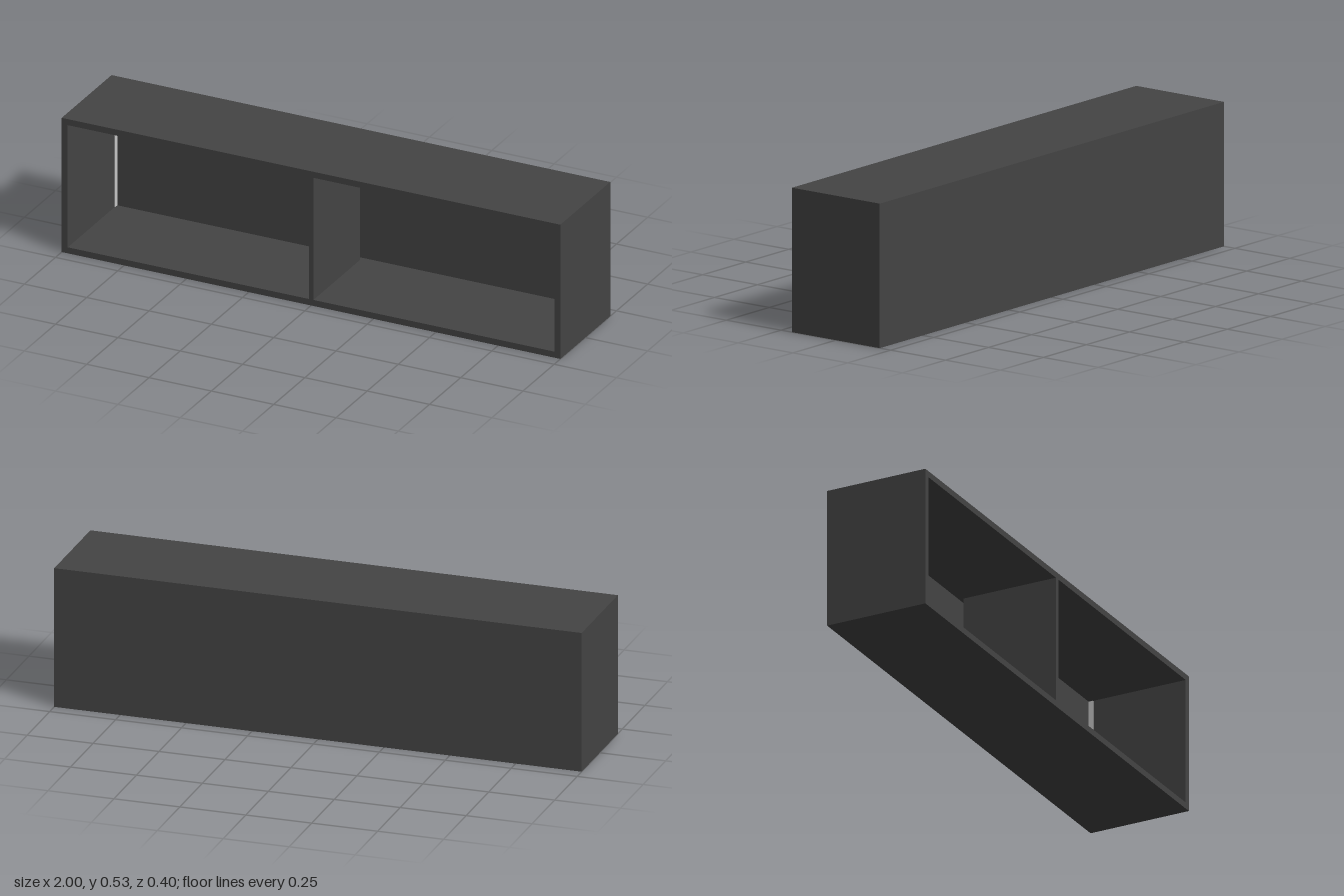
import * as THREE from 'three';

export function createModel() {
  const W = 2, H = 0.533, D = 0.4, T = 0.024;
  const charcoal = new THREE.MeshStandardMaterial({ color: 0x444444 });
  charcoal.name = 'charcoal';
  const paleGrey = new THREE.MeshStandardMaterial({ color: 0xc8c8c8 });
  paleGrey.name = 'paleGrey';
  const model = new THREE.Group();
  model.name = 'wallShelf';

  function board(name, w, h, d, x, y, z, material = charcoal) {
    const mesh = new THREE.Mesh(new THREE.BoxGeometry(w, h, d), material);
    mesh.name = name;
    mesh.position.set(x, y, z);
    model.add(mesh);
  }

  // Outer carcass as one mitred frame, open at the front
  const frame = new THREE.Shape();
  frame.moveTo(-W / 2, 0).lineTo(W / 2, 0).lineTo(W / 2, H).lineTo(-W / 2, H).closePath();
  const opening = new THREE.Path();
  const ix = W / 2 - T;
  opening.moveTo(-ix, T).lineTo(-ix, H - T).lineTo(ix, H - T).lineTo(ix, T).closePath();
  frame.holes.push(opening);
  const carcass = new THREE.Mesh(
    new THREE.ExtrudeGeometry(frame, { depth: D, bevelEnabled: false }), charcoal);
  carcass.name = 'carcass';
  carcass.position.z = -D / 2;
  model.add(carcass);

  // Back panel and central divider
  const backT = 0.006, innerH = H - 2 * T;
  board('backPanel', 2 * ix, innerH, backT, 0, H / 2, -D / 2 + backT / 2);
  board('divider', 0.018, innerH, D - T, 0, H / 2, T / 2);

  // Pale strips on the side walls beside the back panel
  const stripD = T - backT;
  for (const s of [-1, 1]) {
    board('cornerStrip', 0.002, innerH, stripD,
      s * (ix - 0.001), H / 2, -D / 2 + backT + stripD / 2, paleGrey);
  }
  return model;
}
